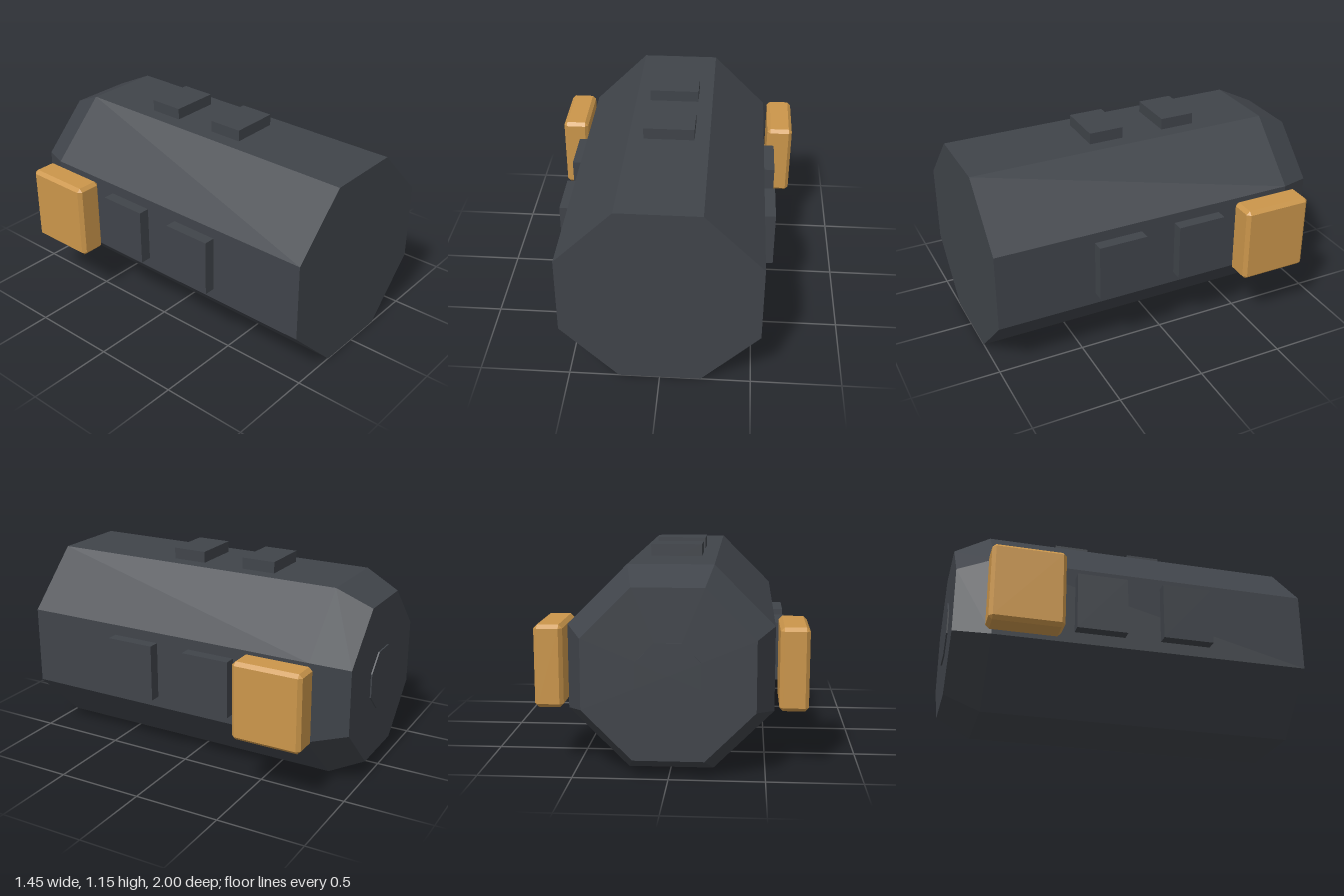
import * as THREE from 'three';
import { ConvexGeometry } from 'three/addons/geometries/ConvexGeometry.js';

const CENTER_Y = 0.545;

// Octagonal prism or frustum along z, given by flat-to-centre distances
function octagon(front, back, zFront, zBack) {
  const k = 1 / Math.cos(Math.PI / 8);
  const cyl = new THREE.CylinderGeometry(front * k, back * k, zFront - zBack, 8, 1, false, Math.PI / 8);
  cyl.rotateX(Math.PI / 2);
  cyl.translate(0, CENTER_Y, (zFront + zBack) / 2);
  const g = cyl.toNonIndexed();
  g.computeVertexNormals();
  return g;
}

// Box with every edge cut by a flat chamfer
function chamferBox(w, h, d, c) {
  const points = [];
  for (const x of [-1, 1]) for (const y of [-1, 1]) for (const z of [-1, 1]) {
    for (let axis = 0; axis < 3; axis++) {
      const half = [w / 2, h / 2, d / 2].map((s, i) => (i === axis ? s : s - c));
      points.push(new THREE.Vector3(x * half[0], y * half[1], z * half[2]));
    }
  }
  return new ConvexGeometry(points);
}

export function createModel() {
  const model = new THREE.Group();
  const darkMetal = new THREE.MeshStandardMaterial({ color: 0x40444a });
  darkMetal.name = 'darkMetal';
  const gold = new THREE.MeshStandardMaterial({ color: 0xcb964b });
  gold.name = 'gold';

  function add(name, geometry, material, x = 0, y = 0, z = 0) {
    const mesh = new THREE.Mesh(geometry, material);
    mesh.name = name;
    mesh.position.set(x, y, z);
    model.add(mesh);
  }

  // Octagonal hull, tapered rear and thin rear cap
  add('hull', octagon(0.545, 0.545, 1, -0.79), darkMetal);
  add('taperedRear', octagon(0.545, 0.45, -0.79, -0.99), darkMetal);
  add('rearCap', octagon(0.168, 0.168, -0.98, -0.998), darkMetal);

  // Raised panels on the top
  for (const z of [0.17, -0.28]) {
    add('topPanel', new THREE.BoxGeometry(0.284, 0.13, 0.2), darkMetal, 0, 1.09, z);
  }

  // Raised panels and chamfered pods on both sides
  for (const side of [-1, 1]) {
    for (const z of [0.288, -0.2]) {
      add('sidePanel', new THREE.BoxGeometry(0.13, 0.327, 0.284), darkMetal, side * 0.545, 0.547, z);
    }
    add('sidePod', chamferBox(0.154, 0.446, 0.404, 0.02), gold, side * 0.647, 0.547, -0.628);
  }

  return model;
}
